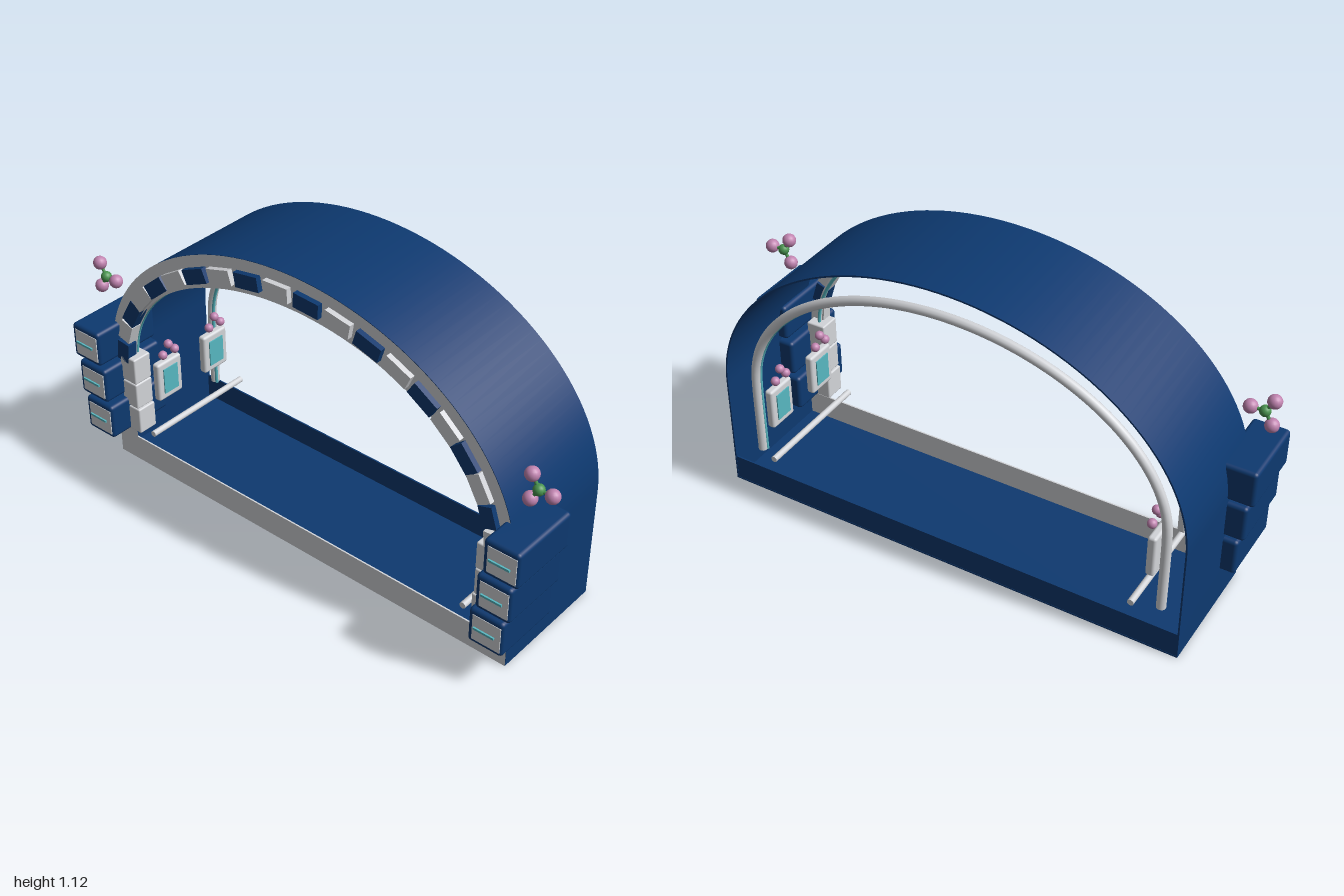
import * as THREE from 'three';
import { toCreasedNormals } from 'three/addons/utils/BufferGeometryUtils.js';
import { RoundedBoxGeometry } from 'three/addons/geometries/RoundedBoxGeometry.js';

const CX = -0.0125, SPRING = 0.44; // centre line and height where the arch starts

function material(name, color, side = THREE.FrontSide) {
  const m = new THREE.MeshStandardMaterial({ color, side });
  m.name = name;
  return m;
}

// Points of a half ellipse with straight legs down to y = foot
function archPoints(rx, ry, foot, n = 64) {
  const pts = [new THREE.Vector2(CX + rx, foot)];
  for (let i = 0; i <= n; i++) {
    const t = (Math.PI * i) / n;
    pts.push(new THREE.Vector2(CX + rx * Math.cos(t), SPRING + ry * Math.sin(t)));
  }
  pts.push(new THREE.Vector2(CX - rx, foot));
  return pts;
}

export function createModel() {
  const navy = material('navy', 0x0d3970);
  const pale = material('pale grey', 0xd3d5d9);
  const teal = material('teal', 0x58b8c2);
  const pink = material('pink', 0xc184b0);
  const green = material('green', 0x4a9550);
  const model = new THREE.Group();
  model.name = 'archway';

  function add(name, geometry, mat, x = 0, y = 0, z = 0, parent = model) {
    const mesh = new THREE.Mesh(geometry, mat);
    mesh.name = name;
    mesh.position.set(x, y, z);
    parent.add(mesh);
    return mesh;
  }
  const box = (w, h, d) => new THREE.BoxGeometry(w, h, d);
  const ball = (r) => new THREE.SphereGeometry(r, 16, 12);

  // Thin tunnel shell with floor
  const shell = new THREE.Shape(archPoints(0.8925, 0.675, 0));
  shell.holes.push(new THREE.Path(archPoints(0.8865, 0.669, 0.006)));
  const shellGeo = new THREE.ExtrudeGeometry(shell, { depth: 0.47, bevelEnabled: false });
  add('tunnelShell', toCreasedNormals(shellGeo, 0.6), navy, 0, 0, -0.292);

  // Pale front face around the opening, and the sills
  const face = new THREE.Shape(archPoints(0.8925, 0.675, 0));
  face.holes.push(new THREE.Path(archPoints(0.8, 0.55, 0.1)));
  add('frontFace', new THREE.ShapeGeometry(face), pale, 0, 0, 0.18);
  add('frontSill', box(1.773, 0.094, 0.006), pale, CX, 0.053, 0.175);
  add('backSill', box(1.773, 0.094, 0.006), navy, CX, 0.053, -0.288);

  // Alternating blocks around the arch
  for (let i = 0; i < 20; i++) {
    const t = Math.PI - ((i + 0.5) * Math.PI) / 20;
    const c = Math.cos(t), s = Math.sin(t);
    const block = add('archBlock', box(i < 2 || i > 17 ? 0.08 : 0.104, 0.054, 0.04),
      i % 2 ? pale : navy, CX + 0.82 * c, SPRING + 0.605 * s, 0.18);
    block.rotation.z = Math.atan2(0.605 * c, -0.82 * s) + Math.PI;
  }

  // Arched pipes inside the tunnel, each with a light strip
  function archTube(name, rx, ry, foot, z, r, mat) {
    const pts = archPoints(rx, ry, foot, 32).map((p) => new THREE.Vector3(p.x, p.y, z));
    add(name, new THREE.TubeGeometry(new THREE.CatmullRomCurve3(pts), 96, r, 10), mat);
  }
  archTube('backPipe', 0.8, 0.55, 0.14, -0.24, 0.017, pale);
  archTube('backLightStrip', 0.786, 0.536, 0.14, -0.232, 0.006, teal);
  archTube('frontPipe', 0.808, 0.558, 0.14, 0.155, 0.009, pale);
  archTube('frontLightStrip', 0.803, 0.553, 0.14, 0.146, 0.006, teal);

  // Parts mirrored on both sides
  for (const side of [-1, 1]) {
    const at = (d) => CX + side * d;

    // Stacked chests with a front plate and handle
    for (let i = 0; i < 3; i++) {
      const x = at(0.878 + 0.019 * i), y = 0.216 + 0.151 * i;
      const chest = new THREE.Group();
      chest.name = 'chest';
      chest.position.set(x, y, 0.149);
      model.add(chest);
      add('chestBody', new RoundedBoxGeometry(0.134, 0.139, 0.278, 3, 0.014), navy, 0, 0, 0, chest);
      add('chestPlate', box(0.108, 0.102, 0.006), pale, 0.005, 0, 0.138, chest);
      add('chestHandle', box(0.08, 0.008, 0.008), teal, -0.002, 0, 0.143, chest);
    }

    // Pale blocks at the foot of the arch
    for (let i = 0; i < 3; i++) {
      add('footBlock', new RoundedBoxGeometry(0.075, 0.106, 0.08, 2, 0.006), pale,
        at(0.802 - (i ? 0 : 0.006)), 0.2 + 0.108 * i, 0.16);
    }

    // Floor rail
    const rail = add('floorRail', new THREE.CylinderGeometry(0.012, 0.012, 0.47, 12), pale,
      at(0.713), 0.157, -0.055);
    rail.rotation.x = Math.PI / 2;

    // Wall screens topped with little flowers
    for (const z of [0.055, -0.185]) {
      add('screenFrame', new RoundedBoxGeometry(0.032, 0.16, 0.12, 2, 0.01), pale, at(0.75), 0.335, z);
      add('screen', box(0.006, 0.105, 0.07), teal, at(0.733), 0.335, z);
      for (const [dy, dz] of [[0.485, 0], [0.45, 0.03], [0.45, -0.03]]) {
        add('smallBlossom', ball(0.017), pink, at(0.735), dy, z + dz);
      }
    }

    // Flower above the chests
    const fx = side < 0 ? -0.945 : 0.928;
    add('flowerCentre', ball(0.02), green, fx, 0.735, 0.148);
    for (let i = 0; i < 3; i++) {
      const a = (i * Math.PI * 2) / 3;
      add('blossom', ball(0.025), pink, fx - 0.002 + 0.052 * Math.cos(a), 0.735 + 0.054 * Math.sin(a), 0.148);
      const stem = add('flowerStem', new THREE.CylinderGeometry(0.006, 0.006, 0.05, 8), green,
        fx + 0.025 * Math.cos(a), 0.735 + 0.025 * Math.sin(a), 0.148);
      stem.rotation.z = a - Math.PI / 2;
    }
  }
  return model;
}
